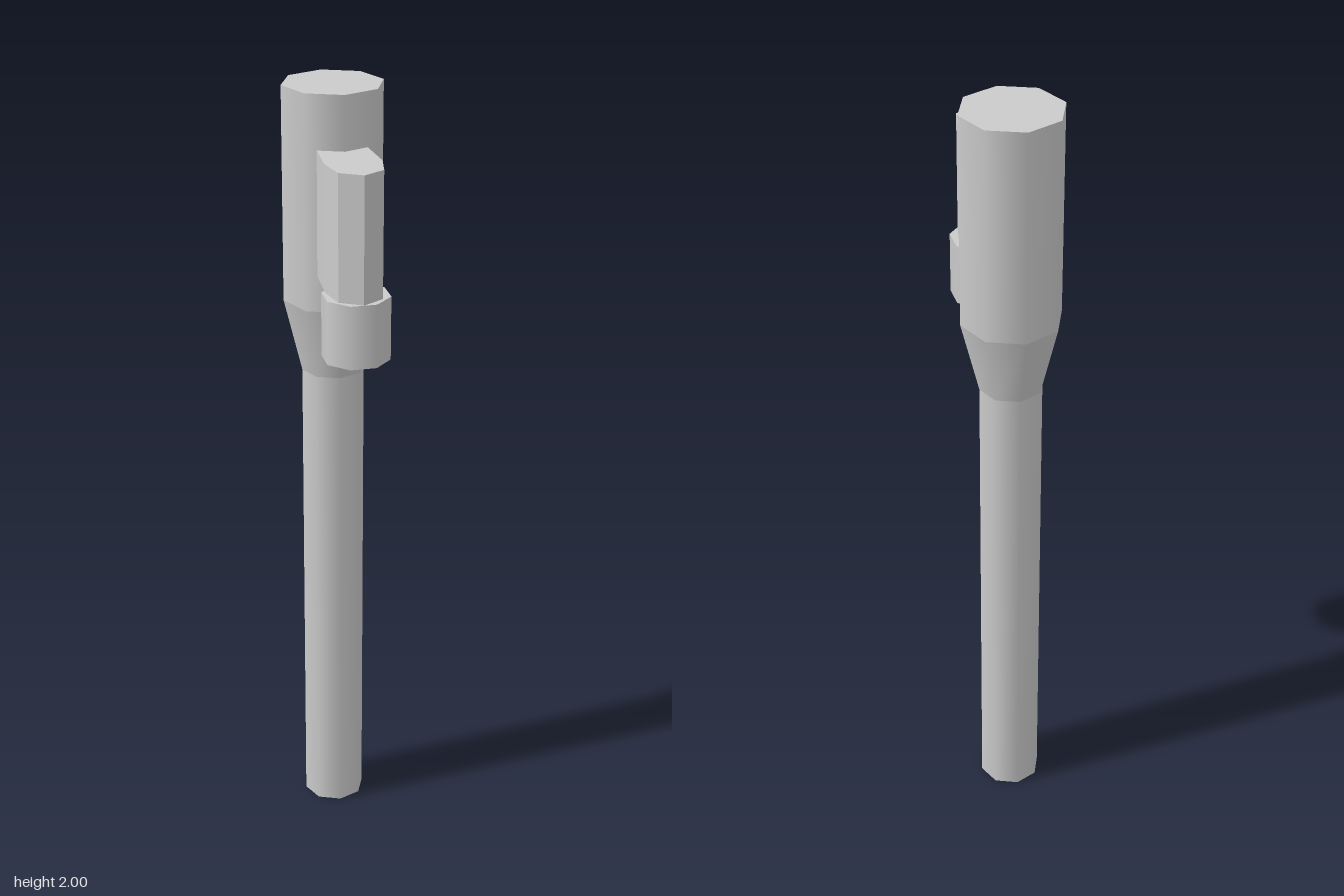
import * as THREE from 'three';

const material = new THREE.MeshStandardMaterial({ color: 0xcccccc });
const SIDES = 8;

function addMesh(parent, name, geometry) {
  const mesh = new THREE.Mesh(geometry, material);
  mesh.name = name;
  parent.add(mesh);
  return mesh;
}

// Smooth eight-sided wall between two heights, without caps
function addWall(parent, name, rTop, rBottom, yTop, yBottom) {
  const wall = new THREE.CylinderGeometry(rTop, rBottom, yTop - yBottom, SIDES, 1, true);
  addMesh(parent, name, wall).position.y = (yTop + yBottom) / 2;
}

// Flat end cap facing up (dir 1) or down (dir -1)
function addCap(parent, name, r, y, dir) {
  const cap = new THREE.CircleGeometry(r, SIDES).rotateX(-dir * Math.PI / 2);
  addMesh(parent, name, cap).position.y = y;
}

export function createModel() {
  const model = new THREE.Group();

  // Main tube: slim shaft, flared collar, wide head
  const tube = new THREE.Group();
  tube.name = 'mainTube';
  tube.position.z = -0.1;
  addWall(tube, 'shaft', 0.08, 0.08, 1.27, 0);
  addWall(tube, 'collar', 0.126, 0.08, 1.46, 1.27);
  addWall(tube, 'head', 0.126, 0.126, 2, 1.46);
  addCap(tube, 'headCap', 0.126, 2, 1);
  addCap(tube, 'shaftCap', 0.08, 0, -1);
  model.add(tube);

  // Bracket: rounded-nose block that meets the facets of the head
  const outline = [
    [0, 0.026], [-0.062, 0.001], [-0.069, 0.115], [-0.054, 0.19],
    [0, 0.222], [0.054, 0.19], [0.069, 0.115], [0.062, 0.001],
  ];
  const shape = new THREE.Shape(outline.map(([x, z]) => new THREE.Vector2(x, -z)));
  const block = new THREE.ExtrudeGeometry(shape, { depth: 0.313, bevelEnabled: false });
  block.rotateX(-Math.PI / 2);
  addMesh(model, 'bracket', block).position.y = 1.552;

  // Short socket under the bracket, flat side to the front
  const socket = new THREE.CylinderGeometry(0.0842, 0.0842, 0.16, SIDES);
  socket.rotateY(Math.PI / SIDES);
  addMesh(model, 'socket', socket).position.set(0, 1.472, 0.145);

  return model;
}
